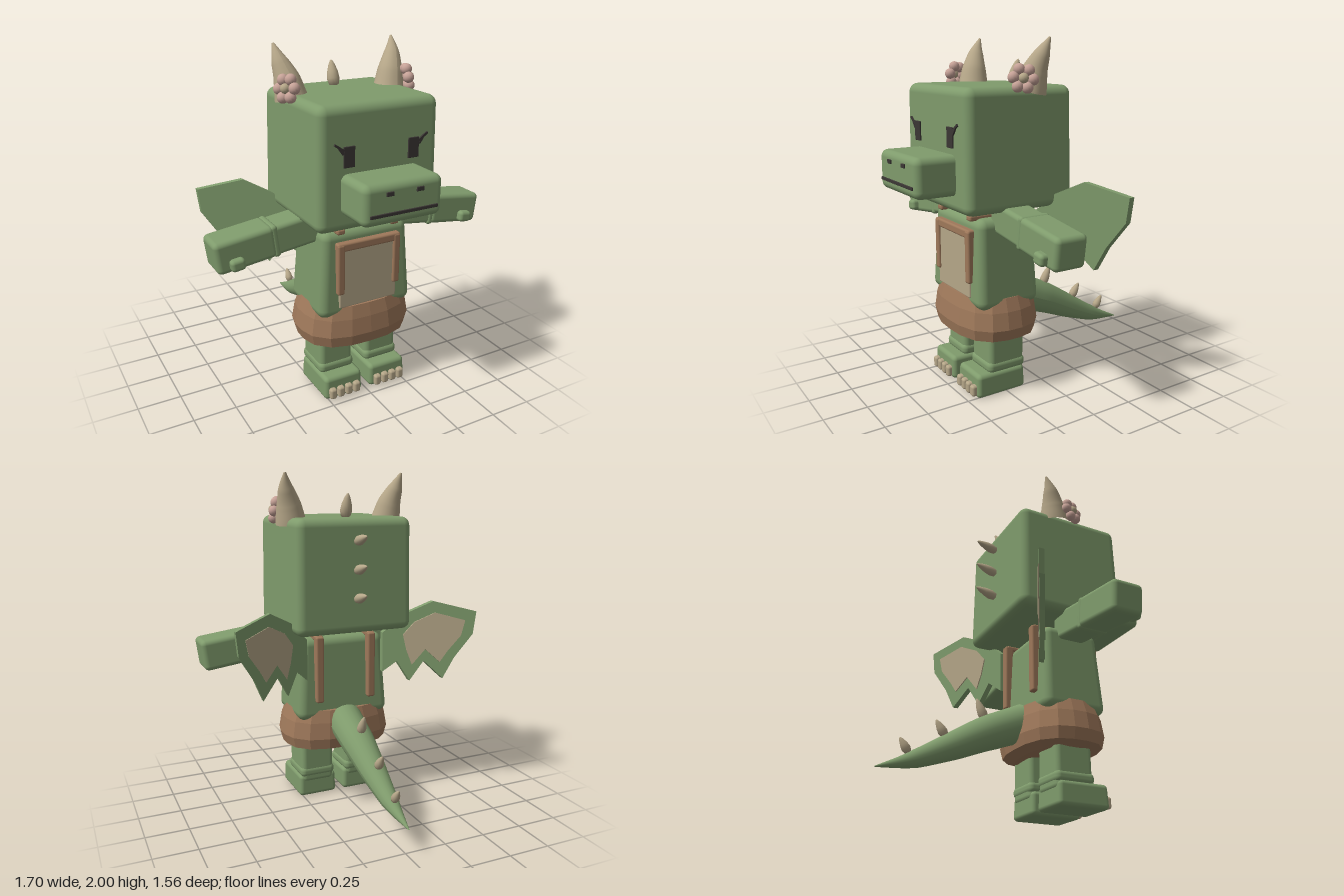
import * as THREE from 'three';
import { RoundedBoxGeometry } from 'three/addons/geometries/RoundedBoxGeometry.js';

const mat = (name, color) => {
  const m = new THREE.MeshStandardMaterial({ color });
  m.name = name;
  return m;
};
const V = (x, y, z) => new THREE.Vector3(x, y, z);

export function createModel() {
  const green = mat('green skin', 0x7f9b6c);
  const tan = mat('tan horn', 0xb5a688);
  const brown = mat('brown cloth', 0x9e785a);
  const dark = mat('dark face paint', 0x3b3634);
  const pink = mat('pink petals', 0xc6a297);
  const root = new THREE.Group();
  root.name = 'dragon';

  const add = (name, geo, material, parent = root) => {
    const m = new THREE.Mesh(geo, material);
    m.name = name;
    parent.add(m);
    return m;
  };
  // Rounded box from its min and max corners; taper scales x and z at the top
  const box = (name, lo, hi, r, material, taper = 1, parent = root) => {
    const [w, h, d] = hi.map((v, i) => v - lo[i]);
    const g = new RoundedBoxGeometry(w, h, d, 3, r);
    const p = g.attributes.position;
    for (let i = 0; i < p.count; i++) {
      const k = 1 + (taper - 1) * (p.getY(i) / h + 0.5);
      p.setX(i, p.getX(i) * k);
      p.setZ(i, p.getZ(i) * k);
    }
    const m = add(name, g, material, parent);
    m.position.set(...hi.map((v, i) => (v + lo[i]) / 2));
    return m;
  };
  // Box on the side s (+1 left, -1 right), mirrored across x
  const sideBox = (name, s, lo, hi, r, material, taper, parent) => {
    const xs = [s * lo[0], s * hi[0]].sort((a, b) => a - b);
    return box(name, [xs[0], lo[1], lo[2]], [xs[1], hi[1], hi[2]], r, material, taper, parent);
  };
  // Tube along a curve with a radius that changes evenly from point to point
  const taperTube = (name, points, radii, material) => {
    const seg = 24, sides = 20;
    const curve = new THREE.CatmullRomCurve3(points);
    const g = new THREE.TubeGeometry(curve, seg, 1, sides);
    const p = g.attributes.position, v = V(0, 0, 0);
    for (let i = 0; i < p.count; i++) {
      const t = Math.floor(i / (sides + 1)) / seg;
      const f = t * (radii.length - 1), a = Math.min(Math.floor(f), radii.length - 2);
      const r = THREE.MathUtils.lerp(radii[a], radii[a + 1], f - a);
      const c = curve.getPointAt(t);
      v.fromBufferAttribute(p, i).sub(c).multiplyScalar(r).add(c);
      p.setXYZ(i, v.x, v.y, v.z);
    }
    g.computeVertexNormals();
    return add(name, g, material);
  };
  // Teardrop spike from base to tip
  const spike = (name, base, tip, r) => {
    const dir = tip.clone().sub(base), L = dir.length();
    const profile = [[0, 0], [0.75, 0.08], [1, 0.3], [0.85, 0.55], [0.5, 0.82], [0.2, 0.96], [0, 1]];
    const g = new THREE.LatheGeometry(profile.map(([x, y]) => new THREE.Vector2(x * r, y * L)), 14);
    const m = add(name, g, tan);
    m.position.copy(base);
    m.quaternion.setFromUnitVectors(V(0, 1, 0), dir.normalize());
  };

  // Head and snout
  box('head', [-0.365, 1.085, -0.13], [0.365, 1.75, 0.545], 0.05, green, 0.975);
  box('snout', [-0.235, 1.18, 0.45], [0.235, 1.4, 0.77], 0.04, green);
  box('mouth', [-0.2, 1.232, 0.768], [0.2, 1.25, 0.777], 0.003, dark);

  // Torso, bib and skirt
  box('torso', [-0.3, 0.525, 0.045], [0.3, 1.035, 0.44], 0.05, green, 0.88);
  box('bibPanel', [-0.185, 0.58, 0.41], [0.185, 0.95, 0.445], 0.01, tan);
  box('bibTopBar', [-0.2, 0.925, 0.4], [0.2, 0.975, 0.455], 0.012, brown);
  const hem = [[0, 0.34], [0.7, 0.32], [0.95, 0.345], [1, 0.41], [0.95, 0.51], [0.87, 0.585], [0, 0.59]];
  let skirt = new THREE.LatheGeometry(hem.map(([x, y]) => new THREE.Vector2(x, y)), 18);
  const sp = skirt.attributes.position;
  for (let i = 0; i < sp.count; i++) {
    const x = sp.getX(i), z = sp.getZ(i), r = Math.hypot(x, z) || 1;
    const k = (Math.abs(x / r) ** 2.7 + Math.abs(z / r) ** 2.7) ** (-1 / 2.7) || 1;
    sp.setX(i, x * Math.min(k, 2) * 0.345);
    sp.setZ(i, z * Math.min(k, 2) * 0.25 + 0.24);
  }
  skirt = skirt.toNonIndexed();
  skirt.computeVertexNormals();
  add('skirt', skirt, brown);

  // Tail with spikes
  taperTube('tail',
    [V(0, 0.51, 0.06), V(0, 0.41, -0.18), V(0, 0.3, -0.4), V(0, 0.21, -0.6), V(0, 0.155, -0.785)],
    [0.11, 0.1, 0.078, 0.05, 0.003], green);
  spike('tailSpike', V(0, 0.49, -0.18), V(0, 0.61, -0.235), 0.028);
  spike('tailSpike', V(0, 0.36, -0.41), V(0, 0.45, -0.47), 0.027);
  spike('tailSpike', V(0, 0.245, -0.61), V(0, 0.325, -0.665), 0.025);

  // Head spikes: one on the crown, three down the back
  spike('crownSpike', V(0, 1.74, 0.04), V(0, 1.885, 0.0), 0.036);
  for (const y of [1.615, 1.45, 1.285]) spike('backSpike', V(0, y, -0.12), V(0, y + 0.04, -0.255), 0.029);

  // Wing outlines, seen from the front
  const wing = [[0.25, 1.04], [0.37, 1.16], [0.52, 1.24], [0.75, 1.18], [0.735, 1.04], [0.64, 0.89],
    [0.58, 0.755], [0.475, 0.865], [0.4, 0.735], [0.33, 0.86], [0.25, 0.79]];
  const patch = [[0.36, 1.03], [0.42, 1.11], [0.53, 1.17], [0.69, 1.125], [0.67, 1.03], [0.6, 0.93],
    [0.56, 0.86], [0.48, 0.94], [0.41, 0.84], [0.38, 0.93]];
  const sweptPlate = (name, s, outline, z0, depth, material) => {
    const shape = new THREE.Shape(outline.map(([x, y]) => new THREE.Vector2(s * x, y)));
    const g = new THREE.ExtrudeGeometry(shape, { depth, bevelEnabled: false });
    const p = g.attributes.position;
    for (let i = 0; i < p.count; i++) p.setZ(i, p.getZ(i) + z0 - 0.54 * Math.abs(p.getX(i)));
    g.computeVertexNormals();
    add(name, g, material);
  };

  for (const s of [1, -1]) {
    const side = s > 0 ? 'left' : 'right';

    // Eye, lashes and nostril
    sideBox(side + 'Eye', s, [0.16, 1.435, 0.545], [0.225, 1.545, 0.554], 0.003, dark);
    for (const [x, y, len, a] of [[0.25, 1.543, 0.065, 0.6], [0.24, 1.527, 0.05, 0.95]]) {
      const lash = add(side + 'Lash', new THREE.BoxGeometry(len, 0.012, 0.009), dark);
      lash.position.set(s * x, y, 0.55);
      lash.rotation.z = s * a;
    }
    sideBox(side + 'Nostril', s, [0.067, 1.335, 0.768], [0.11, 1.358, 0.777], 0.003, dark);

    // Horn with a flower at its foot
    taperTube(side + 'Horn',
      [V(s * 0.305, 1.72, 0.125), V(s * 0.322, 1.82, 0.108), V(s * 0.35, 1.92, 0.075), V(s * 0.365, 2, 0.04)],
      [0.09, 0.072, 0.045, 0.006], tan);
    const flower = new THREE.Group();
    flower.name = side + 'Flower';
    flower.position.set(s * 0.37, 1.79, 0.21);
    flower.quaternion.setFromUnitVectors(V(0, 0, 1), V(s, 0.2, 0.45).normalize());
    root.add(flower);
    add('flowerCentre', new THREE.SphereGeometry(0.027, 14, 10), tan, flower).position.z = 0.012;
    for (let i = 0; i < 6; i++) {
      const a = i * Math.PI / 3;
      add('petal', new THREE.SphereGeometry(0.031, 14, 10), pink, flower)
        .position.set(0.052 * Math.cos(a), 0.052 * Math.sin(a), 0);
    }

    // Arm, tilted down from the shoulder
    const arm = new THREE.Group();
    arm.name = side + 'Arm';
    arm.position.set(s * 0.27, 1.04, 0);
    arm.rotation.z = -s * 0.13;
    root.add(arm);
    sideBox('upperArm', s, [-0.06, -0.085, 0.15], [0.26, 0.085, 0.325], 0.025, green, 1, arm);
    sideBox('elbowFold', s, [0.215, -0.092, 0.145], [0.255, 0.092, 0.33], 0.018, green, 1, arm);
    sideBox('forearm', s, [0.235, -0.088, 0.142], [0.575, 0.092, 0.333], 0.028, green, 1, arm);
    sideBox('thumb', s, [0.43, -0.075, 0.31], [0.51, -0.01, 0.372], 0.02, green, 1, arm);

    // Leg, foot and toes
    sideBox(side + 'Leg', s, [0.045, 0.09, 0.125], [0.255, 0.4, 0.355], 0.03, green);
    sideBox(side + 'AnkleFold', s, [0.038, 0.125, 0.12], [0.262, 0.195, 0.365], 0.03, green);
    sideBox(side + 'Foot', s, [0.025, 0, 0.127], [0.272, 0.138, 0.445], 0.025, green, 0.96);
    for (let i = 0; i < 4; i++) {
      const x = 0.072 + i * 0.052;
      sideBox(side + 'Toe', s, [x - 0.021, 0.012, 0.42], [x + 0.021, 0.078, 0.47], 0.014, tan);
    }

    // Straps on the bib, over the shoulder and down the back
    sideBox(side + 'BibStrap', s, [0.155, 0.67, 0.4], [0.2, 0.97, 0.458], 0.012, brown);
    sideBox(side + 'ShoulderStrap', s, [0.145, 1.022, 0.03], [0.195, 1.055, 0.44], 0.012, brown);
    sideBox(side + 'BackStrap', s, [0.145, 0.64, 0.02], [0.195, 1.05, 0.075], 0.012, brown);

    // Wing with a pale patch on its back
    sweptPlate(side + 'Wing', s, wing, 0.168, 0.032, green);
    sweptPlate(side + 'WingPatch', s, patch, 0.162, 0.008, tan);
  }
  return root;
}
